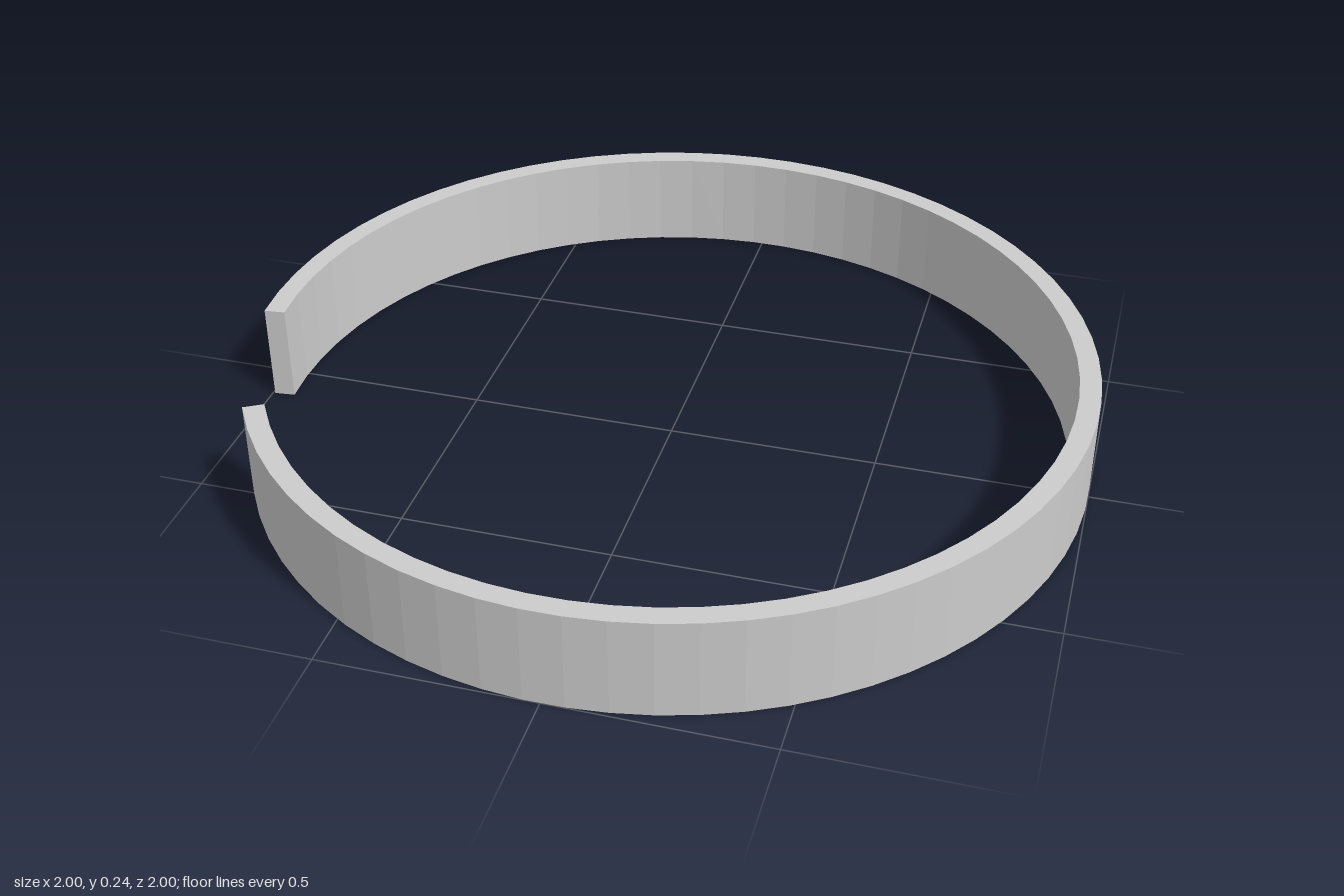
import * as THREE from 'three';

const OUTER = 1, INNER = 0.95, HEIGHT = 0.24;
const START = THREE.MathUtils.degToRad(210); // front end of the gap
const END = THREE.MathUtils.degToRad(546); // rear end of the gap

export function createModel() {
  const group = new THREE.Group();
  group.name = 'openRing';

  // C-shaped outline: outer arc one way, inner arc back, closed by flat ends
  const outline = new THREE.Shape();
  outline.absarc(0, 0, OUTER, START, END, false);
  outline.absarc(0, 0, INNER, END, START, true);

  const geometry = new THREE.ExtrudeGeometry(outline, {
    depth: HEIGHT, bevelEnabled: false, curveSegments: 32,
  });
  geometry.rotateX(-Math.PI / 2);

  const band = new THREE.Mesh(
    geometry,
    new THREE.MeshStandardMaterial({ color: 0xcccccc, flatShading: true }),
  );
  band.name = 'splitBand';
  group.add(band);
  return group;
}
